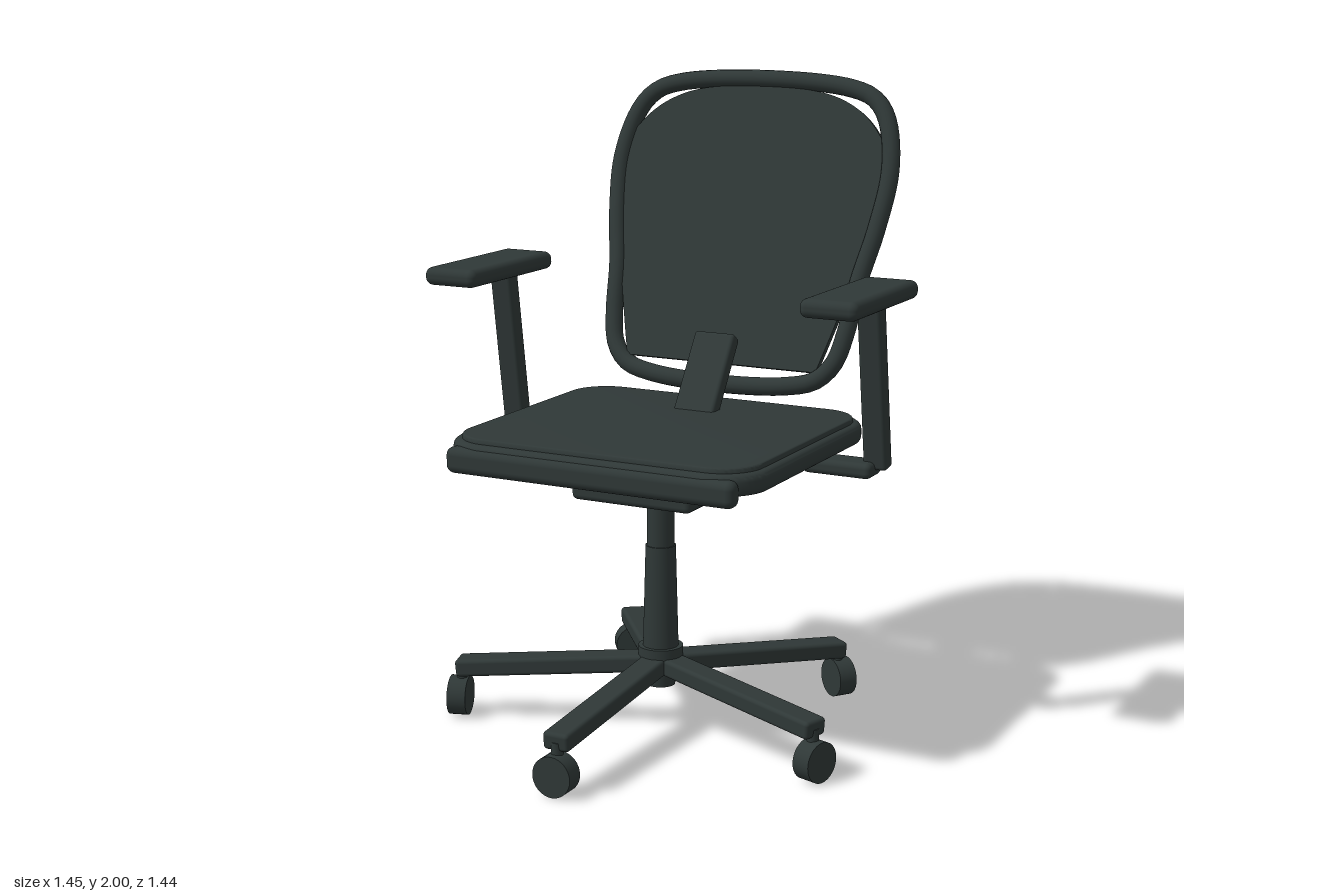
import * as THREE from 'three';
import { toCreasedNormals } from 'three/addons/utils/BufferGeometryUtils.js';
import { RoundedBoxGeometry } from 'three/addons/geometries/RoundedBoxGeometry.js';

const charcoal = new THREE.MeshStandardMaterial({ color: 0x2f3837 });
charcoal.name = 'charcoal';

const CZ = 0.037; // depth of the swivel axis
const TILT = Math.PI / 9; // backrest recline

function add(parent, name, geometry, x = 0, y = 0, z = 0) {
  const mesh = new THREE.Mesh(geometry, charcoal);
  mesh.name = name;
  mesh.position.set(x, y, z);
  parent.add(mesh);
  return mesh;
}

const roundedBox = (w, h, d, r) => new RoundedBoxGeometry(w, h, d, 4, r);

// Box whose long (y) axis runs between two points
function bar(parent, name, a, b, w, d, r) {
  const dir = b.clone().sub(a);
  const mesh = add(parent, name, roundedBox(w, dir.length(), d, r));
  mesh.position.copy(a).add(b).multiplyScalar(0.5);
  mesh.quaternion.setFromUnitVectors(new THREE.Vector3(0, 1, 0), dir.normalize());
  return mesh;
}

// Horizontal slab with rounded corners and softened edges, bottom at y = 0
function slab(w, d, corner, h, bevel) {
  const x = w / 2 - bevel, y = d / 2 - bevel, r = corner - bevel;
  const s = new THREE.Shape();
  s.absarc(x - r, y - r, r, 0, Math.PI / 2);
  s.absarc(r - x, y - r, r, Math.PI / 2, Math.PI);
  s.absarc(r - x, r - y, r, Math.PI, Math.PI * 1.5);
  s.absarc(x - r, r - y, r, Math.PI * 1.5, Math.PI * 2);
  const g = new THREE.ExtrudeGeometry(s, {
    depth: h - 2 * bevel, bevelSize: bevel, bevelThickness: bevel, bevelSegments: 4, curveSegments: 12,
  });
  g.translate(0, 0, bevel).rotateX(-Math.PI / 2);
  return toCreasedNormals(g, 0.7);
}

function createBase() {
  const base = new THREE.Group();
  base.name = 'base';
  base.position.z = CZ;

  // Five spokes, each with a caster whose axle points outwards
  for (let i = 0; i < 5; i++) {
    const leg = new THREE.Group();
    leg.name = 'leg' + (i + 1);
    leg.rotation.y = (i * Math.PI * 2) / 5;
    base.add(leg);
    const spoke = add(leg, 'spoke', roundedBox(0.085, 0.055, 0.66, 0.012), 0, 0.188, 0.325);
    spoke.rotation.x = 0.083;
    add(leg, 'casterStem', new THREE.CylinderGeometry(0.018, 0.018, 0.08, 16), 0, 0.12, 0.64);
    const wheel = add(leg, 'casterWheel', new THREE.CylinderGeometry(0.0625, 0.0625, 0.06, 32), 0, 0.0625, 0.648);
    wheel.rotation.x = Math.PI / 2;
  }

  // Hub, gas lift and tilt mechanism
  add(base, 'hub', new THREE.CylinderGeometry(0.07, 0.07, 0.04, 32), 0, 0.247, 0);
  add(base, 'hubCore', new THREE.CylinderGeometry(0.055, 0.045, 0.1, 32), 0, 0.19, 0);
  add(base, 'lowerColumn', new THREE.CylinderGeometry(0.047, 0.056, 0.34, 32), 0, 0.42, 0);
  add(base, 'upperColumn', new THREE.CylinderGeometry(0.043, 0.043, 0.32, 32), 0, 0.72, 0);
  add(base, 'tiltMechanism', roundedBox(0.405, 0.095, 0.405, 0.018), 0, 0.803, 0);
  return base;
}

function createSeat() {
  const seat = new THREE.Group();
  seat.name = 'seat';
  add(seat, 'seatPan', slab(1.036, 0.93, 0.15, 0.065, 0.022), 0, 0.892, CZ);
  add(seat, 'seatCushion', slab(0.985, 0.875, 0.125, 0.04, 0.008), 0, 0.932, CZ);
  add(seat, 'frontRoll', roundedBox(0.955, 0.08, 0.058, 0.025), 0, 0.906, 0.486);
  return seat;
}

function createBackrest() {
  const back = new THREE.Group();
  back.name = 'backrest';
  back.position.set(0, 1.025, -0.35);
  back.rotation.x = -TILT;

  // Height above the floor turned into distance along the reclined plane
  const up = (y) => (y - 1.025) / Math.cos(TILT);
  const mirrored = (half) => [
    ...half,
    ...half.slice().reverse().filter(([x]) => x > 0).map(([x, y]) => [-x, y]),
  ];

  // Tubular rim
  const rim = mirrored([
    [0, 1.027], [0.24, 1.04], [0.335, 1.065], [0.388, 1.12], [0.412, 1.21], [0.43, 1.37],
    [0.462, 1.53], [0.478, 1.71], [0.442, 1.86], [0.39, 1.922], [0.3, 1.953], [0, 1.971],
  ]).map(([x, y]) => new THREE.Vector3(x, up(y), 0));
  const path = new THREE.CatmullRomCurve3(rim, true, 'centripetal');
  add(back, 'backFrame', new THREE.TubeGeometry(path, 120, 0.029, 14, true));

  // Thin panel inside the rim
  const edge = [
    [0.335, 1.087], [0.395, 1.3], [0.44, 1.5], [0.463, 1.73],
    [0.42, 1.82], [0.33, 1.893], [0.2, 1.935], [0, 1.945],
  ];
  const half = edge.map(([x, y]) => new THREE.Vector2(x, up(y)));
  const other = half.slice(0, -1).reverse().map((p) => new THREE.Vector2(-p.x, p.y));
  const panel = new THREE.Shape();
  panel.moveTo(half[0].x, half[0].y);
  panel.splineThru([...half.slice(1), ...other]);
  panel.closePath();
  const panelGeometry = new THREE.ExtrudeGeometry(panel, { depth: 0.02, bevelEnabled: false, curveSegments: 40 });
  add(back, 'backPanel', toCreasedNormals(panelGeometry, 0.7), 0, 0, -0.01);

  // Y-shaped brace on the rear
  const spineLow = up(1.13), spineTop = up(1.51);
  add(back, 'spine', roundedBox(0.11, spineTop - spineLow, 0.04, 0.012), 0, (spineLow + spineTop) / 2, -0.024);
  for (const s of [1, -1]) {
    bar(back, s > 0 ? 'leftBrace' : 'rightBrace',
      new THREE.Vector3(s * 0.02, up(1.475), -0.02), new THREE.Vector3(s * 0.4, up(1.585), -0.02), 0.042, 0.034, 0.01);
  }
  return back;
}

function createArm(side) {
  const arm = new THREE.Group();
  arm.name = side > 0 ? 'leftArm' : 'rightArm';
  add(arm, 'armBracket', roundedBox(0.225, 0.048, 0.1, 0.018), side * 0.523, 0.861, -0.145);
  bar(arm, 'armPost', new THREE.Vector3(side * 0.633, 0.862, -0.166),
    new THREE.Vector3(side * 0.633, 1.385, -0.088), 0.075, 0.055, 0.012);
  add(arm, 'armPad', roundedBox(0.182, 0.056, 0.485, 0.024), side * 0.632, 1.402, -0.007);
  return arm;
}

export function createModel() {
  const chair = new THREE.Group();
  chair.name = 'officeChair';
  chair.add(createBase(), createSeat(), createBackrest(), createArm(1), createArm(-1));

  // Sloping link between seat and backrest
  bar(chair, 'backSupport', new THREE.Vector3(0, 0.885, -0.15), new THREE.Vector3(0, 1.185, -0.351), 0.14, 0.05, 0.012);
  return chair;
}
